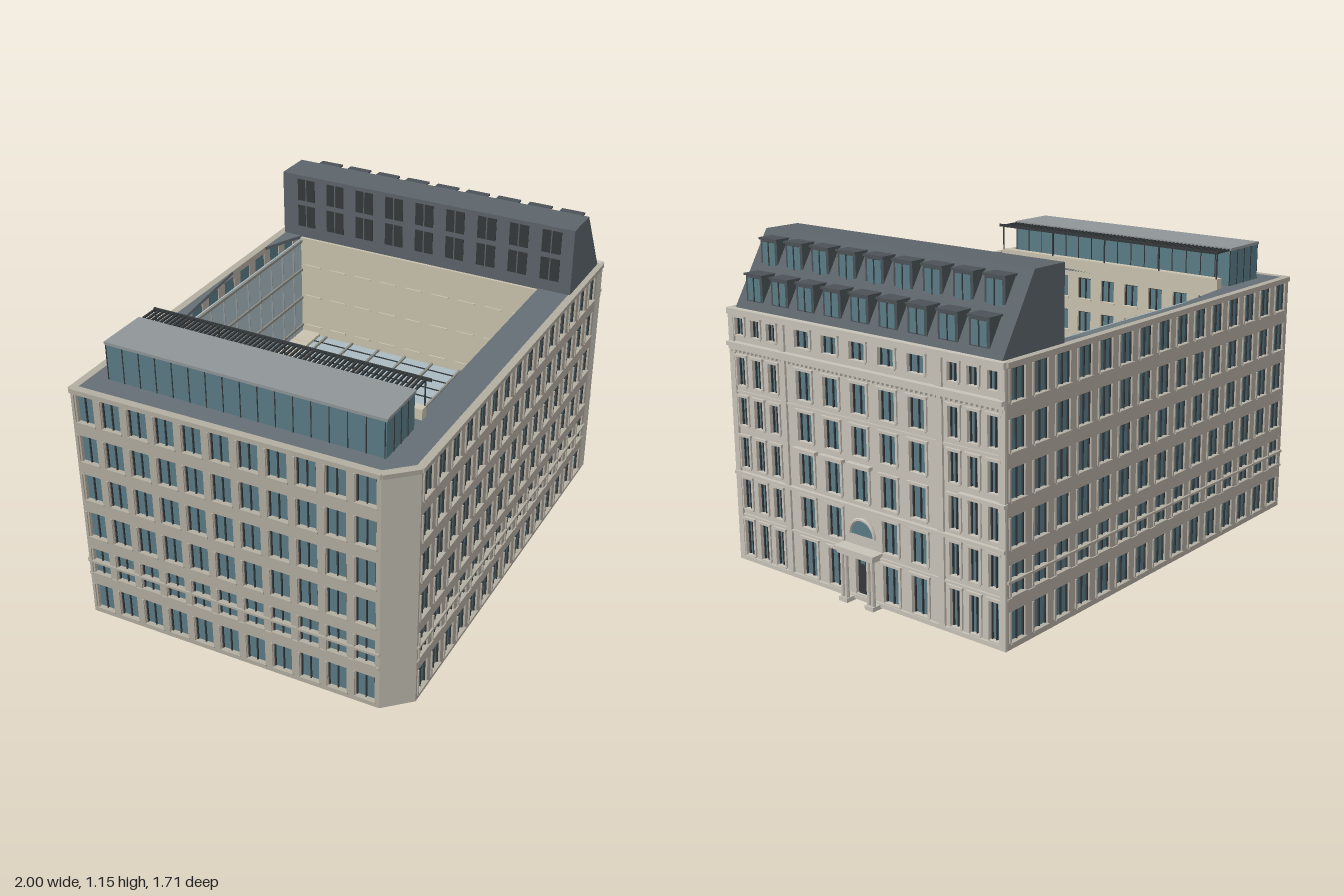
import * as THREE from 'three';
import { mergeGeometries } from 'three/addons/utils/BufferGeometryUtils.js';

const mat = (color) => new THREE.MeshStandardMaterial({ color, side: THREE.DoubleSide, flatShading: true });
const M = {
  stone: mat(0xb3ada1), pale: mat(0xc8c3b8), glass: mat(0x5a7b85), frame: mat(0x34393b),
  deck: mat(0x666f76), slate: mat(0x5c646a), dormer: mat(0x4b5257), grey: mat(0x8f9698),
  court: mat(0xa9bac1), beam: mat(0x8f8f86), tan: mat(0xb09468), cream: mat(0xc9c2ae),
};

// box given by its limits on each axis
function box(x0, x1, y0, y1, z0, z1) {
  return new THREE.BoxGeometry(x1 - x0, y1 - y0, z1 - z0)
    .translate((x0 + x1) / 2, (y0 + y1) / 2, (z0 + z1) / 2);
}
function add(group, name, geos, material) {
  const list = [].concat(geos);
  if (!list.length) return;
  const mesh = new THREE.Mesh(list.length > 1 ? mergeGeometries(list) : list[0], material);
  mesh.name = name;
  group.add(mesh);
  return mesh;
}
const range = (n, f) => Array.from({ length: n }, (_, i) => f(i));
const even = (len, n, w) => range(n, (i) => [(len * (i + 0.5)) / n, w]);

// wall from a to b (left to right seen from outside) with window openings
function wall(name, a, b, y0, y1, bays, rows, material, { trim = 0, skip = () => false } = {}) {
  const g = new THREE.Group();
  g.name = name;
  const dx = b[0] - a[0], dz = b[1] - a[1], len = Math.hypot(dx, dz);
  g.position.set(a[0], 0, a[1]);
  g.rotation.y = Math.atan2(-dz, dx);
  const shape = new THREE.Shape([[0, y0], [len, y0], [len, y1], [0, y1]].map((p) => new THREE.Vector2(...p)));
  const panes = [], frames = [], sills = [];
  rows.forEach(([r0, r1], r) => bays.forEach(([c, w], i) => {
    if (skip(r, i)) return;
    const l = c - w / 2, h = c + w / 2, t = 0.004;
    shape.holes.push(new THREE.Path([[l, r0], [l, r1], [h, r1], [h, r0]].map((p) => new THREE.Vector2(...p))));
    panes.push(box(l, h, r0, r1, -0.017, -0.013));
    frames.push(box(l, l + t, r0, r1, -0.013, -0.007), box(h - t, h, r0, r1, -0.013, -0.007),
      box(l, h, r1 - t, r1, -0.013, -0.007), box(c - t / 2, c + t / 2, r0, r1, -0.013, -0.007));
    sills.push(box(l - 0.004, h + 0.004, r0 - 0.006, r0, -0.005, 0.005));
    if (trim) {
      sills.push(box(l - 0.009, l, r0, r1, -0.005, trim), box(h, h + 0.009, r0, r1, -0.005, trim),
        box(l - 0.011, h + 0.011, r1, r1 + 0.009, -0.005, trim * 1.5));
    }
  }));
  const body = new THREE.ExtrudeGeometry(shape, { depth: 0.02, bevelEnabled: false }).translate(0, 0, -0.02);
  add(g, name + 'Masonry', body, material);
  add(g, name + 'Panes', panes, M.glass);
  add(g, name + 'Frames', frames, M.frame);
  add(g, name + 'Sills', sills, material);
  return { g, len };
}

// grand entrance elevation with pilasters, cornices and portico
function grandFacade(d, e) {
  const half = [[0.05, 0.04], [0.128, 0.04], [0.205, 0.04], [0.352, 0.066], [0.476, 0.066]];
  const bays = [...half, [0.6, 0.066], ...half.map(([c, w]) => [1.2 - c, w])];
  const rows = [[0.03, 0.16], [0.2, 0.31], [0.35, 0.46], [0.5, 0.6], [0.64, 0.74], [0.815, 0.875]];
  const { g, len } = wall('grandFacade', d, e, 0.01, 0.9, bays, rows, M.pale,
    { trim: 0.006, skip: (r, i) => i === 5 && r === 1 });
  const bands = [[0.01, 0.025, 0.008], [0.172, 0.18, 0.006], [0.323, 0.335, 0.014], [0.615, 0.622, 0.005],
    [0.765, 0.778, 0.012], [0.778, 0.792, 0.022], [0.885, 0.905, 0.014]];
  add(g, 'cornices', bands.map(([y0, y1, p]) => box(0, len, y0, y1, -0.01, p)), M.pale);
  add(g, 'dentils', range(60, (i) => box((i + 0.25) * len / 60, (i + 0.7) * len / 60, 0.756, 0.766, 0, 0.012)), M.pale);
  add(g, 'pilasters', [0.012, 0.258, 0.942, len - 0.012].map((s) => box(s - 0.012, s + 0.012, 0.01, 0.9, -0.01, 0.008)), M.pale);
  // hoods above the middle-floor windows
  add(g, 'windowHoods', bays.slice(3, 8).map(([c]) => box(c - 0.052, c + 0.052, 0.466, 0.478, 0, 0.018)), M.pale);
  // portico
  const porch = [box(0.52, 0.68, 0.172, 0.19, 0, 0.042), box(0.512, 0.688, 0.19, 0.197, 0, 0.048)];
  for (const s of [-1, 1]) for (const o of [0.05, 0.068]) {
    porch.push(new THREE.CylinderGeometry(0.007, 0.008, 0.162, 10).translate(0.6 + s * o, 0.091, 0.03),
      box(0.6 + s * o - 0.01, 0.6 + s * o + 0.01, 0.005, 0.02, 0, 0.042));
  }
  porch.push(new THREE.TorusGeometry(0.055, 0.006, 6, 20, Math.PI).translate(0.6, 0.235, 0.004));
  add(g, 'portico', porch, M.pale);
  add(g, 'doorLeaf', [box(0.572, 0.628, 0.015, 0.13, -0.012, -0.004)], M.frame);
  add(g, 'fanlight', new THREE.CircleGeometry(0.052, 20, 0, Math.PI).translate(0.6, 0.235, 0.003), M.glass);
  return g;
}

export function createModel() {
  const model = new THREE.Group();
  model.name = 'courtyardBuilding';
  const g = new THREE.Group();
  g.name = 'building';
  g.rotation.y = Math.PI / 8;
  model.add(g);

  // outer walls
  const A = [-0.842, -0.577], B = [-0.82, 0.515], C = [-0.737, 0.604], D = [0.81, 0.604], E = [0.797, -0.594];
  const floors = range(6, (i) => [0.032 + i * 0.15, 0.132 + i * 0.15]);
  const outer = [['frontWall', C, [0.76, 0.604], 15, 0.066], ['backWall', E, A, 15, 0.066],
    ['leftWall', A, B, 11, 0.068], ['chamferWall', B, C, 0, 0], ['cornerPier', [0.76, 0.604], D, 0, 0]];
  for (const [name, a, b, n, w] of outer) {
    const l = Math.hypot(b[0] - a[0], b[1] - a[1]);
    const part = wall(name, a, b, 0.01, 0.9, even(l, n, w), n ? floors : [], n ? M.stone : M.pale).g;
    add(part, name + 'Coping', box(0, l, 0.888, 0.904, -0.02, 0.007), M.stone);
    if (n) {
      add(part, name + 'Bands', [box(0, l, 0.226, 0.234, -0.015, 0.007), box(0, l, 0.172, 0.178, -0.01, 0.005)], M.stone);
      // slim fins on the piers
      add(part, name + 'Fins', floors.flatMap(([y0, y1]) => range(n, (i) =>
        box(l * i / n + 0.008, l * i / n + 0.014, y0, y1, 0, 0.005))), M.stone);
    }
    g.add(part);
  }
  g.add(grandFacade(D, E));

  // roof deck around the courtyard
  const v2 = (pts) => pts.map((p) => new THREE.Vector2(...p));
  const deck = new THREE.Shape(v2([A, B, C, D, E]));
  deck.holes.push(new THREE.Path(v2([[-0.48, -0.5], [-0.48, 0.47], [0.51, 0.47], [0.51, -0.5], [0.46, -0.525], [0.3, -0.588]])));
  add(g, 'roofDeck', new THREE.ExtrudeGeometry(deck, { depth: 0.012, bevelEnabled: false })
    .rotateX(Math.PI / 2).translate(0, 0.903, 0), M.deck);

  // courtyard: glazed roof low down, curtain walls front and back
  const yg = 0.49;
  add(g, 'atriumGlass', box(-0.48, 0.51, yg - 0.01, yg, -0.5, 0.47), M.court);
  add(g, 'atriumBeams', range(8, (i) => -0.39 + i * 0.115).map((v) => box(-0.48, 0.51, yg, yg + 0.008, v - 0.004, v + 0.004)), M.beam);
  add(g, 'atriumGlazingBars', range(15, (i) => -0.42 + i * 0.062).map((u) => box(u - 0.0015, u + 0.0015, yg, yg + 0.004, -0.42, 0.42)), M.frame);
  add(g, 'atriumBackLedge', range(10, (i) => box(-0.48 + i * 0.099, -0.384 + i * 0.099, yg, yg + 0.012, -0.495, -0.42)), M.cream);
  add(g, 'atriumFrontLedge', box(-0.4, 0.42, yg, yg + 0.012, 0.42, 0.465), M.tan);
  add(g, 'curtainWalls', [box(-0.48, 0.51, yg, 0.892, -0.504, -0.498), box(-0.48, 0.51, yg, 0.892, 0.468, 0.474)], M.court);
  const rails = [], mullions = [];
  for (const [v0, v1] of [[-0.498, -0.492], [0.462, 0.468]]) {
    for (let y = 0.52; y < 0.9; y += 0.12) rails.push(box(-0.48, 0.51, y, y + 0.01, v0, v1));
    for (let i = 1; i < 12; i++) mullions.push(box(-0.48 + i * 0.0825, -0.478 + i * 0.0825, yg, 0.892, v0, v1));
  }
  add(g, 'curtainRails', rails, M.beam);
  add(g, 'curtainMullions', mullions, M.grey);
  const innerRows = [[0.53, 0.6], [0.66, 0.74], [0.79, 0.87]];
  g.add(wall('courtRightWall', [0.515, 0.47], [0.515, -0.5], yg, 0.9, [], [], M.cream).g);
  g.add(wall('courtRightInnerWall', [0.505, -0.5], [0.505, 0.47], yg, 0.9, even(0.97, 9, 0.06), innerRows, M.cream).g.translateZ(0.01));
  g.add(wall('courtLeftInnerWall', [-0.48, 0.47], [-0.48, -0.5], yg, 0.9, even(0.97, 9, 0.06), innerRows, M.cream).g);

  // mansard roof
  const profile = new THREE.Shape(v2([[0.505, 0.9], [0.795, 0.9], [0.645, 1.15], [0.505, 1.15]]));
  add(g, 'mansardRoof', new THREE.ExtrudeGeometry(profile, { depth: 1.165, bevelEnabled: false }).translate(0, 0, -0.575), M.slate);
  const cheeks = [], caps = [], lights = [], bars = [], rear = [], rearBars = [];
  for (let i = 0; i < 9; i++) {
    const v = 0.508 - i * 0.123;
    for (const [front, y0, y1] of [[0.708, 1.03, 1.125], [0.778, 0.92, 1.015]]) {
      cheeks.push(box(front - 0.11, front, y0, y1, v - 0.04, v + 0.04));
      caps.push(box(front - 0.11, front + 0.006, y1, y1 + 0.007, v - 0.044, v + 0.044));
      lights.push(box(front, front + 0.002, y0 + 0.012, y1 - 0.008, v - 0.03, v + 0.03));
      bars.push(box(front, front + 0.004, y0 + 0.01, y1 - 0.006, v - 0.002, v + 0.002));
    }
    for (const y of [0.945, 1.05]) {
      rear.push(box(0.503, 0.506, y, y + 0.085, v - 0.036, v + 0.036));
      rearBars.push(box(0.5, 0.505, y, y + 0.085, v - 0.002, v + 0.002));
    }
  }
  add(g, 'dormers', cheeks, M.dormer);
  add(g, 'dormerCaps', caps, M.dormer);
  add(g, 'dormerGlass', lights, M.glass);
  add(g, 'dormerBars', bars, M.frame);
  add(g, 'mansardRearWindows', rear, M.frame);
  add(g, 'mansardRearBars', rearBars, M.slate);

  // rooftop pavilion with slatted canopy
  add(g, 'pavilion', box(-0.74, -0.555, 0.9, 1.03, -0.5, 0.49), M.glass);
  add(g, 'pavilionRoof', box(-0.743, -0.552, 1.03, 1.04, -0.503, 0.493), M.grey);
  const posts = range(17, (i) => -0.5 + i * 0.0615)
    .flatMap((v) => [box(-0.742, -0.74, 0.9, 1.03, v, v + 0.003), box(-0.555, -0.553, 0.9, 1.03, v, v + 0.003)]);
  for (let i = 1; i < 4; i++) posts.push(box(-0.74 + i * 0.046, -0.737 + i * 0.046, 0.9, 1.03, -0.502, 0.492));
  add(g, 'pavilionMullions', posts, M.frame);
  add(g, 'canopySlats', range(60, (i) => box(-0.552, -0.472, 1.03, 1.036, -0.497 + i * 0.0166, -0.49 + i * 0.0166)), M.frame);
  add(g, 'canopyFrame', [box(-0.474, -0.468, 1.028, 1.038, -0.5, 0.505),
    ...range(5, (i) => box(-0.474, -0.47, 0.94, 1.03, -0.497 + i * 0.245, -0.493 + i * 0.245))], M.frame);
  add(g, 'terraceCurb', box(-0.5, -0.47, 0.9, 0.94, -0.5, 0.49), M.cream);

  // underside, facing down only
  const under = (name, u0, u1, v0, v1, y, color) => add(g, name, new THREE.PlaneGeometry(u1 - u0, v1 - v0)
    .rotateX(Math.PI / 2).translate((u0 + u1) / 2, y, (v0 + v1) / 2), new THREE.MeshStandardMaterial({ color }));
  under('baseSlab', -0.7, 0.55, -0.5, 0.45, 0, 0x5c5c55);
  under('entranceSlab', 0.55, 0.79, -0.5, 0.59, 0.012, 0xcfcab8);
  return model;
}
